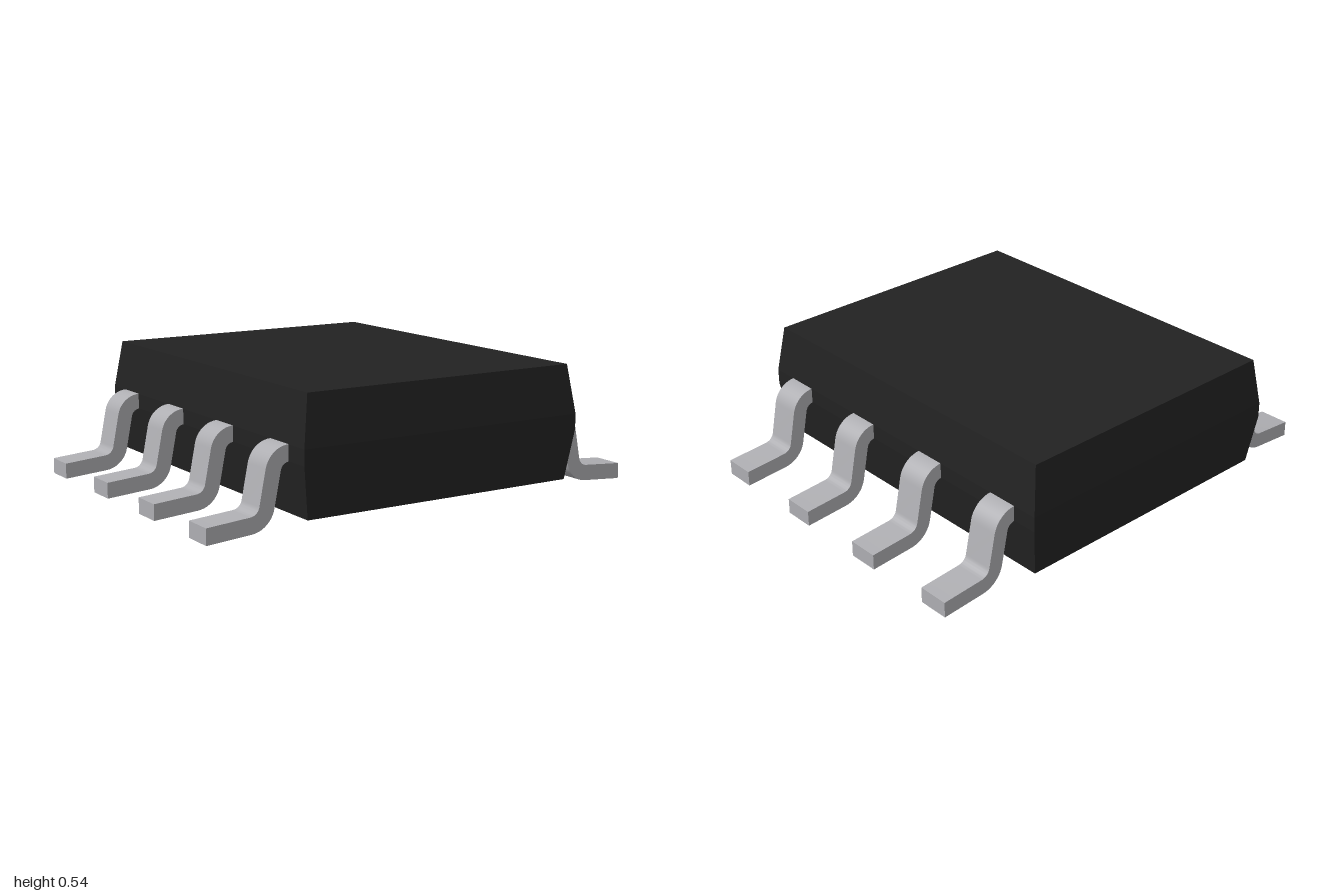
import * as THREE from 'three';
import { toCreasedNormals } from 'three/addons/utils/BufferGeometryUtils.js';

const THICK = 0.066, WIDTH = 0.133;

// Body: a box in three bands, widest across the middle band
function bodyGeometry() {
  const rings = [[0.06, 0.62, 0.785], [0.272, 0.65, 0.812], [0.336, 0.65, 0.812], [0.54, 0.62, 0.785]];
  const box = new THREE.BoxGeometry(2, 3, 2, 1, 3, 1);
  const p = box.attributes.position;
  for (let i = 0; i < p.count; i++) {
    const [y, halfX, halfZ] = rings[Math.round(p.getY(i) + 1.5)];
    p.setXYZ(i, p.getX(i) * halfX, y, p.getZ(i) * halfZ);
  }
  const flat = box.toNonIndexed();
  flat.computeVertexNormals();
  return flat;
}

// Lead: a strip following a centre line of straights and arcs, extruded to its width
function leadGeometry() {
  const upper = [], lower = [];
  const add = (x, y, h) => {
    const nx = -Math.sin(h) * THICK / 2, ny = Math.cos(h) * THICK / 2;
    upper.push(new THREE.Vector2(x + nx, y + ny));
    lower.push(new THREE.Vector2(x - nx, y - ny));
  };
  let x = 0.6, y = 0.304, h = 0;
  const straight = (length) => {
    x += Math.cos(h) * length;
    y += Math.sin(h) * length;
  };
  const bend = (radius, degrees) => {
    const turn = THREE.MathUtils.degToRad(degrees), r = radius * Math.sign(turn);
    const cx = x - Math.sin(h) * r, cy = y + Math.cos(h) * r, h0 = h;
    for (let i = 0; i <= 10; i++) {
      h = h0 + turn * i / 10;
      x = cx + Math.sin(h) * r;
      y = cy - Math.cos(h) * r;
      add(x, y, h);
    }
  };
  add(x, y, h);
  straight(0.048);
  bend(0.07, -78.7);
  straight(0.143);
  bend(0.075, 74.5);
  straight((1 - x) / Math.cos(h));
  add(1, THICK / 2, 0);

  const shape = new THREE.Shape([...lower, ...upper.reverse()]);
  const geometry = new THREE.ExtrudeGeometry(shape, { depth: WIDTH, bevelEnabled: false });
  geometry.translate(0, 0, -WIDTH / 2);
  return toCreasedNormals(geometry, 0.6);
}

export function createModel() {
  const blackPlastic = new THREE.MeshStandardMaterial({ color: 0x222222 });
  blackPlastic.name = 'blackPlastic';
  const tinnedMetal = new THREE.MeshStandardMaterial({ color: 0xaeaeb2 });
  tinnedMetal.name = 'tinnedMetal';

  const model = new THREE.Group();
  model.name = 'chipPackage';

  const body = new THREE.Mesh(bodyGeometry(), blackPlastic);
  body.name = 'body';
  model.add(body);

  // Four leads on each side
  const lead = leadGeometry();
  for (const side of ['left', 'right']) {
    const row = new THREE.Group();
    row.name = side + 'Leads';
    row.rotation.y = side === 'left' ? 0 : Math.PI;
    for (let i = 0; i < 4; i++) {
      const mesh = new THREE.Mesh(lead, tinnedMetal);
      mesh.name = side + 'Lead' + (i + 1);
      mesh.position.z = (i - 1.5) * 0.423;
      row.add(mesh);
    }
    model.add(row);
  }
  return model;
}
